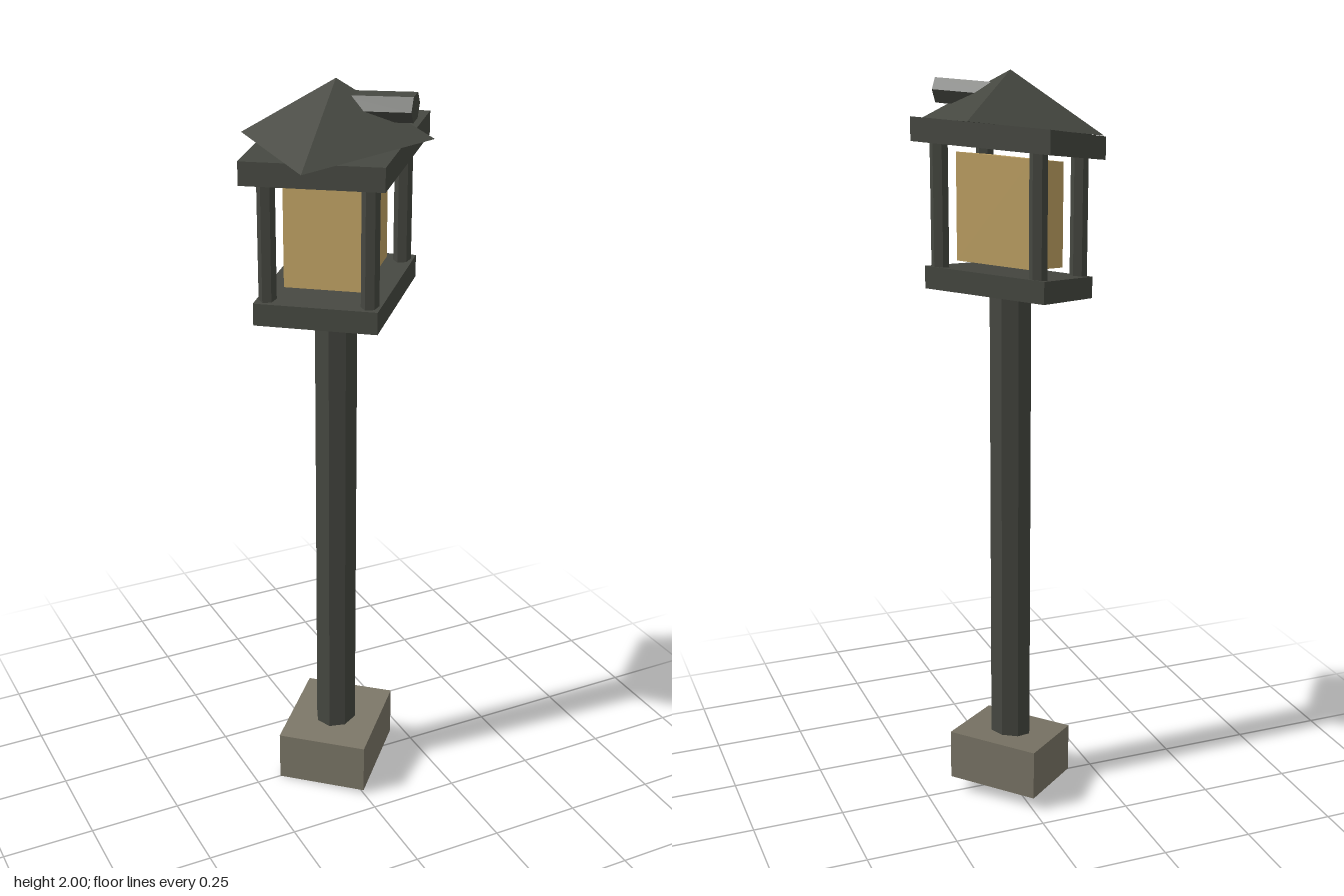
import * as THREE from 'three';

const DIAGONAL = Math.PI / 4;

// Leaning skew: horizontals slope while uprights stay vertical
const skew = new THREE.Matrix4().set(
  1, 0, 0, 0,
  0.135, 1, -0.077, 0,
  0, 0, 1, 0,
  0, 0, 0, 1
);

export function createModel() {
  const lamp = new THREE.Group();
  lamp.name = 'lampPost';

  const flat = (name, color) => {
    const m = new THREE.MeshStandardMaterial({ color, flatShading: true });
    m.name = name;
    return m;
  };
  const iron = flat('darkIron', 0x454740);
  const stone = flat('stone', 0x797465);
  const glass = flat('amberGlass', 0xbfa163);

  // Skews a placed geometry and adds it as a named part
  function add(name, geometry, material) {
    const g = geometry.toNonIndexed().applyMatrix4(skew);
    g.computeVertexNormals();
    const mesh = new THREE.Mesh(g, material);
    mesh.name = name;
    lamp.add(mesh);
  }

  // Square block turned 45 degrees, given by its corner radius and y range
  function block(name, radius, y0, y1, material) {
    const side = radius * Math.SQRT2;
    const g = new THREE.BoxGeometry(side, y1 - y0, side);
    g.rotateY(DIAGONAL).translate(0, (y0 + y1) / 2, 0);
    add(name, g, material);
  }

  // Upright prism with a given number of sides
  function upright(name, radius, sides, x, z, y0, y1) {
    const g = new THREE.CylinderGeometry(radius, radius, y1 - y0, sides);
    g.translate(x, (y0 + y1) / 2, z);
    add(name, g, iron);
  }

  // Base and pole
  block('base', 0.18, 0.025, 0.166, stone);
  upright('pole', 0.058, 8, 0, 0, 0.15, 1.45);

  // Lantern cage
  block('lanternFloor', 0.232, 1.433, 1.491, iron);
  block('lanternGlass', 0.146, 1.51, 1.785, glass);
  block('lanternCeiling', 0.264, 1.8, 1.86, iron);
  for (let i = 0; i < 4; i++) {
    const a = i * Math.PI / 2;
    upright('cagePost', 0.023, 6, 0.191 * Math.cos(a), 0.191 * Math.sin(a), 1.48, 1.81);
  }

  // Pyramid roof, its corners between those of the cage
  const roof = new THREE.ConeGeometry(0.178 * Math.SQRT2, 0.14, 4);
  roof.rotateY(DIAGONAL).translate(0, 1.93, 0);
  add('roof', roof, iron);

  // Six-sided pipe running out over the front left roof corner
  const pipe = new THREE.CylinderGeometry(0.036, 0.036, 0.19, 6);
  pipe.rotateY(Math.PI / 6).rotateX(Math.PI / 2);
  pipe.translate(0, 1.934, 0.107).rotateY(DIAGONAL);
  add('roofPipe', pipe, iron);

  return lamp;
}
